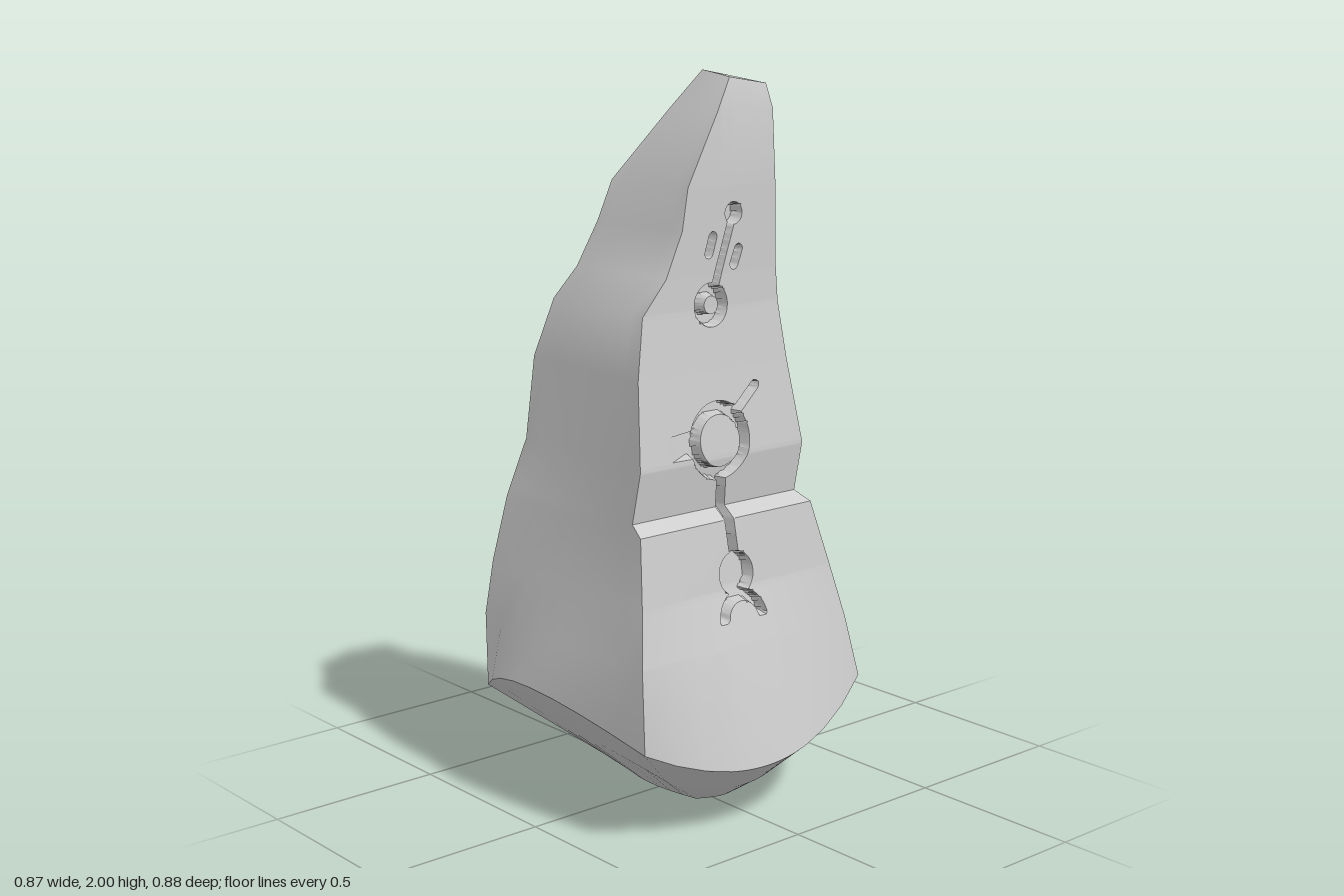
import * as THREE from 'three';
import { toCreasedNormals } from 'three/addons/utils/BufferGeometryUtils.js';

const V = (x, y, z) => new THREE.Vector3(x, y, z);

// Upper cross-sections: height, x of the carved side, z of its front and back corner,
// then x, z of the far back corner and of the far front corner
const LEVELS = [
  [0.5, 0.333, 0.4, -0.335, -0.36, -0.345, -0.35, 0.4],
  [0.65, 0.305, 0.376, -0.3, -0.352, -0.3, -0.345, 0.375],
  [0.835, 0.276, 0.357, -0.25, -0.335, -0.265, -0.315, 0.345],
  [0.865, 0.24, 0.354, -0.222, -0.328, -0.225, -0.308, 0.338],
  [1.0, 0.256, 0.34, -0.235, -0.31, -0.235, -0.275, 0.305],
  [1.23, 0.222, 0.318, -0.205, -0.298, -0.205, -0.26, 0.285],
  [1.39, 0.203, 0.287, -0.187, -0.262, -0.178, -0.215, 0.25],
  [1.48, 0.2, 0.205, -0.182, -0.19, -0.17, -0.16, 0.212],
  [1.6, 0.2, 0.15, -0.18, -0.155, -0.167, -0.135, 0.16],
  [1.71, 0.199, 0.13, -0.178, -0.122, -0.166, -0.11, 0.13],
  [1.9, 0.19, 0.02, -0.175, 0.0, -0.168, 0.0, 0.02],
];

// A ring is eight points: corner, middle of side, corner, ... starting at +x +z
function upperRing([y, x, az, bz, cx, cz, dx, dz]) {
  const c = [V(x, y, az), V(x, y, bz), V(cx, y, cz), V(dx, y, dz)];
  return { v: y, p: c.flatMap((a, i) => [a, a.clone().lerp(c[(i + 1) % 4], 0.5)]) };
}
const ringOf = (v, pts) => ({ v, p: pts.map((q) => V(...q)) });
const rings = [
  ringOf(0, [[0.19, 0.03, 0.09], [0.2, 0.02, -0.02], [0.15, 0.02, -0.1], [0.06, 0.005, -0.13],
    [-0.07, 0.02, -0.1], [-0.1, 0.02, 0], [-0.09, 0.03, 0.09], [0.04, 0.035, 0.12]]),
  ringOf(0.1, [[0.25, 0.14, 0.25], [0.3, 0.085, 0], [0.25, 0.15, -0.24], [0.05, 0.06, -0.28],
    [-0.22, 0.15, -0.25], [-0.2, 0.1, -0.03], [-0.21, 0.17, 0.26], [0, 0.19, 0.29]]),
  ringOf(0.25, [[0.33, 0.27, 0.39], [0.433, 0.19, 0.02], [0.36, 0.33, -0.365], [0.05, 0.27, -0.44],
    [-0.362, 0.31, -0.38], [-0.435, 0.2, -0.05], [-0.345, 0.29, 0.4], [-0.1, 0.355, 0.438]]),
  ...LEVELS.map(upperRing),
  ringOf(2, [[0.17, 1.985, -0.038], [0.172, 1.975, -0.1], [0.17, 1.965, -0.168], [0.118, 1.97, -0.169],
    [0.066, 1.975, -0.17], [0.066, 1.987, -0.1], [0.066, 2, -0.036], [0.118, 1.993, -0.037]]),
];
// Slight swelling of the sides above the base edge
const swell = rings.find((r) => r.v === 0.5).p;
swell[1].x += 0.02; swell[3].z -= 0.012; swell[5].x -= 0.022; swell[7].z += 0.012;

// Point i of the outline at level v
function outline(v, i) {
  let k = 0;
  while (k < rings.length - 2 && v > rings[k + 1].v) k++;
  const a = rings[k], b = rings[k + 1];
  return a.p[i % 8].clone().lerp(b.p[i % 8], (v - a.v) / (b.v - a.v));
}
// Point on a side, curved through corner, middle and corner
function surface(side, v, t) {
  return outline(v, side * 2).multiplyScalar((1 - t) * (1 - 2 * t))
    .addScaledVector(outline(v, side * 2 + 1), 4 * t * (1 - t))
    .addScaledVector(outline(v, side * 2 + 2), t * (2 * t - 1));
}

// Carved signs, as distances in the z-y plane
const bar = (z, y, z0, y0, z1, y1, w) => {
  const a = z1 - z0, b = y1 - y0;
  const t = THREE.MathUtils.clamp(((z - z0) * a + (y - y0) * b) / (a * a + b * b), 0, 1);
  return Math.hypot(z - z0 - a * t, y - y0 - b * t) - w;
};
const disc = (z, y, z0, y0, r) => Math.hypot(z - z0, y - y0) - r;
const hoop = (z, y, z0, y0, r, w) => Math.abs(disc(z, y, z0, y0, r)) - w;
const carving = (z, y) => Math.min(
  // upper sign
  hoop(z, y, 0.053, 1.4, 0.041, 0.017), bar(z, y, 0.037, 1.448, -0.025, 1.63, 0.012),
  disc(z, y, -0.028, 1.635, 0.03),
  bar(z, y, 0.058, 1.535, 0.044, 1.578, 0.014), bar(z, y, -0.03, 1.5, -0.046, 1.54, 0.014),
  // middle sign
  hoop(z, y, 0.06, 1.045, 0.087, 0.018), bar(z, y, 0.0, 1.11, -0.08, 1.175, 0.014),
  bar(z, y, 0.056, 0.95, 0.046, 0.74, 0.016),
  // lower sign
  disc(z, y, 0.045, 0.69, 0.06),
  Math.max(hoop(z, y, 0.042, 0.565, 0.068, 0.016), 0.568 - y),
);

const STEP = 0.006, DEPTH = 0.035;
const carvedColumns = [];
for (let z = 0.156; z > -0.112; z -= STEP) carvedColumns.push(z);

const columnAt = (v, z) => {
  const level = Math.max(v, 0.25), a = outline(level, 0).z, b = outline(level, 2).z;
  return THREE.MathUtils.clamp((a - z) / (a - b), 0, 1);
};

// Point of the carved side: grid points near a carving's rim move onto it, those inside sink
function carvedPoint(v, z) {
  const p = surface(0, v, columnAt(v, z));
  if (v < 0.52 || v > 1.69) return p;
  const d = carving(z, v), e = 1e-4;
  if (Math.abs(d) < STEP * 0.6) {
    const gz = (carving(z + e, v) - carving(z - e, v)) / (2 * e);
    const gy = (carving(z, v + e) - carving(z, v - e)) / (2 * e);
    return surface(0, v - d * gy, columnAt(v - d * gy, z - d * gz));
  }
  if (d < 0) p.x -= DEPTH;
  return p;
}

function createModel() {
  const positions = [];
  const triangle = (a, b, c) => {
    const area = b.clone().sub(a).cross(c.clone().sub(a)).length();
    if (area > 1e-9) for (const q of [a, b, c]) positions.push(q.x, q.y, q.z);
  };
  const skin = (rows) => {
    for (let j = 0; j < rows.length - 1; j++) {
      for (let i = 0; i < rows[j].length - 1; i++) {
        triangle(rows[j][i], rows[j][i + 1], rows[j + 1][i + 1]);
        triangle(rows[j][i], rows[j + 1][i + 1], rows[j + 1][i]);
      }
    }
  };
  const finish = (name) => {
    const g = new THREE.BufferGeometry();
    g.setAttribute('position', new THREE.Float32BufferAttribute(positions.splice(0), 3));
    const mesh = new THREE.Mesh(toCreasedNormals(g, 0.72), new THREE.MeshStandardMaterial({ color: 0xcccccc }));
    mesh.name = name;
    return mesh;
  };
  const levels = rings.map((r) => r.v);
  const base = [];

  // Three plain sides with their share of the underside
  for (let side = 1; side < 4; side++) {
    const rows = levels.map((v) => Array.from({ length: 9 }, (_, i) => surface(side, v, i / 8)));
    skin(rows);
    base.push(rows[0]);
  }

  // Carved side, with fine rows where the signs are
  const fineLevels = [];
  for (let k = 0; k < levels.length - 1; k++) {
    const a = levels[k], b = levels[k + 1];
    const n = a >= 0.5 && b < 1.8 ? Math.ceil((b - a) / STEP) : 1;
    for (let i = 0; i < n; i++) fineLevels.push(a + (b - a) * i / n);
  }
  fineLevels.push(2);
  const columns = [1, 0.31, 0.23, ...carvedColumns, -0.18, -0.27, -1];
  const carvedRows = fineLevels.map((v) => columns.map((z) => carvedPoint(v, z)));
  skin(carvedRows);
  base.push(carvedRows[0]);

  // Flat tip and foot
  const top = rings[rings.length - 1].p;
  const tipCentre = V(0.118, 1.983, -0.1), footCentre = V(0.06, 0, -0.02);
  for (let i = 0; i < 8; i++) triangle(tipCentre, top[i], top[(i + 1) % 8]);
  for (const row of base) {
    for (let i = 0; i < row.length - 1; i++) triangle(footCentre, row[i + 1], row[i]);
  }

  const group = new THREE.Group();
  group.name = 'carvedStandingStone';
  group.add(finish('stone'));
  return group;
}

export { createModel };
